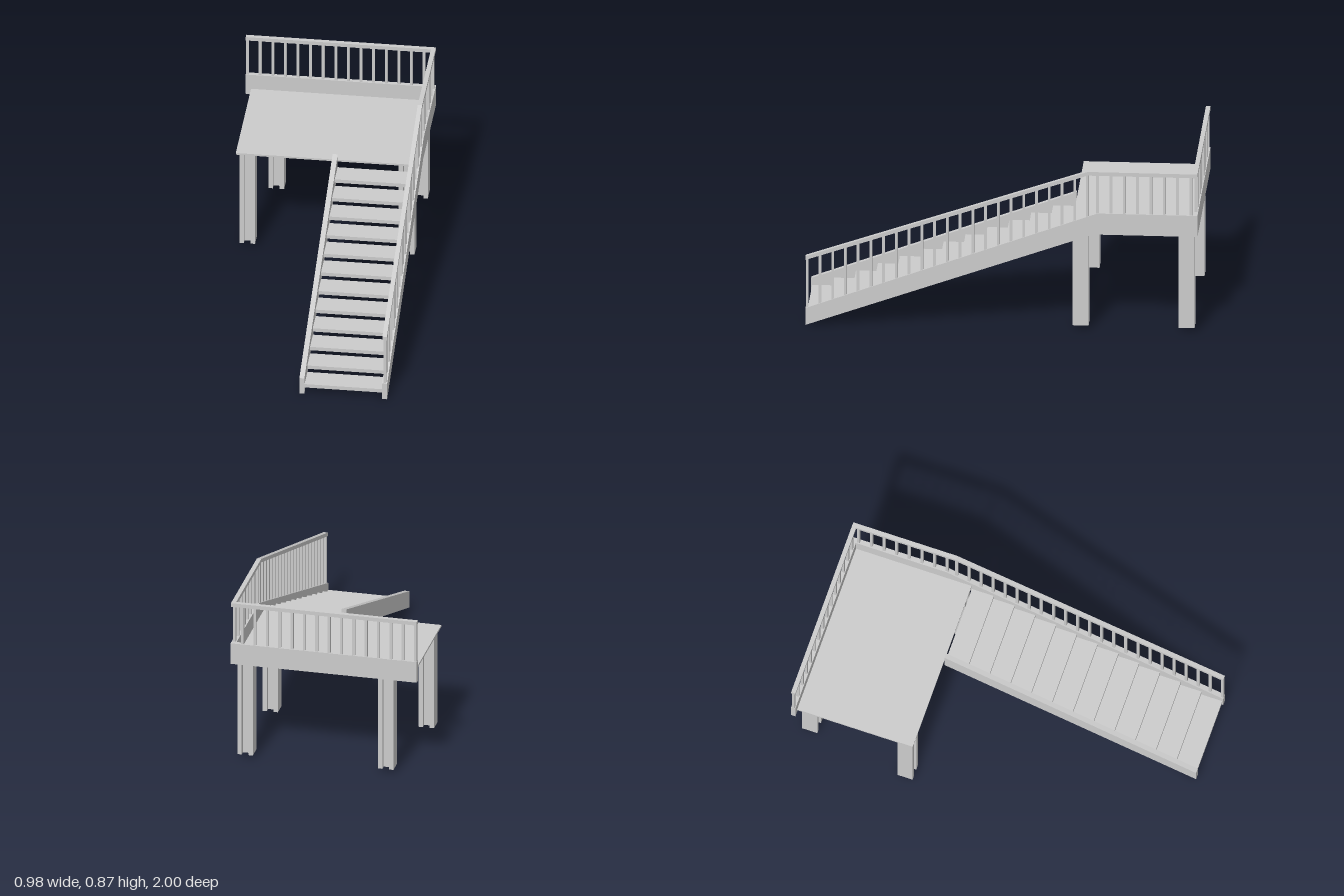
import * as THREE from 'three';

const material = new THREE.MeshStandardMaterial({ color: 0xcccccc, flatShading: true });

// Box given by its min and max on each axis
function box(parent, name, x0, x1, y0, y1, z0, z1) {
  const mesh = new THREE.Mesh(new THREE.BoxGeometry(x1 - x0, y1 - y0, z1 - z0), material);
  mesh.position.set((x0 + x1) / 2, (y0 + y1) / 2, (z0 + z1) / 2);
  mesh.name = name;
  parent.add(mesh);
}

// Board cut from a side outline of [z, y] points, spanning x0 to x1
function sideBoard(parent, name, x0, x1, points) {
  const shape = new THREE.Shape(points.map(([z, y]) => new THREE.Vector2(z, y)));
  const geo = new THREE.ExtrudeGeometry(shape, { depth: x1 - x0, bevelEnabled: false });
  geo.rotateY(-Math.PI / 2).translate(x1, 0, 0);
  const mesh = new THREE.Mesh(geo, material);
  mesh.name = name;
  parent.add(mesh);
}

// Vertical H-section post, centred on x and z
function post(parent, name, x, z) {
  const h = 0.0405, flange = 0.0175, web = 0.0125;
  const outline = [
    [-h, -h], [-flange, -h], [-flange, -web], [flange, -web], [flange, -h], [h, -h],
    [h, h], [flange, h], [flange, web], [-flange, web], [-flange, h], [-h, h],
  ];
  const shape = new THREE.Shape(outline.map(([a, b]) => new THREE.Vector2(a, b)));
  const geo = new THREE.ExtrudeGeometry(shape, { depth: 0.532, bevelEnabled: false });
  geo.rotateX(-Math.PI / 2).translate(x, 0.025, z);
  const mesh = new THREE.Mesh(geo, material);
  mesh.name = name;
  parent.add(mesh);
}

export function createModel() {
  const model = new THREE.Group();
  model.name = 'staircaseWithLanding';
  const outer = 0.4875, inner = 0.4615;
  const stringerTop = (z) => Math.min(0.65, 0.095 + (1 - z) * 0.3725);
  const stringerBottom = (z) => Math.min(0.535, 0.003 + (1 - z) * 0.362);
  const railTop = (z) => Math.min(0.875, 0.377 + (1 - z) * 0.3458);

  // Landing floor and its supports
  box(model, 'landingFloor', -0.46, inner, 0.557, 0.567, -0.98, -0.355);
  post(model, 'frontLeftPost', 0.416, -0.402);
  post(model, 'backLeftPost', 0.416, -0.943);
  post(model, 'frontRightPost', -0.402, -0.402);
  post(model, 'backRightPost', -0.321, -0.943);

  // Back fascia, and the long stringer that bends into the side fascia
  box(model, 'backFascia', -outer, outer, 0.535, 0.65, -1, -0.977);
  sideBoard(model, 'outerStringer', inner, outer, [
    [1, stringerBottom(1)], [1, stringerTop(1)], [-0.49, 0.65],
    [-0.985, 0.65], [-0.985, 0.535], [-0.47, 0.535],
  ]);
  sideBoard(model, 'innerStringer', 0.037, 0.063, [
    [1, stringerBottom(1)], [1, stringerTop(1)],
    [-0.355, stringerTop(-0.355)], [-0.355, stringerBottom(-0.355)],
  ]);

  // Open treads
  const treads = new THREE.Group();
  treads.name = 'treads';
  for (let i = 0; i < 12; i++) {
    const top = 0.058 + i * 0.0424, front = 0.995 - i * 0.1118;
    box(treads, 'tread', 0.063, inner, top - 0.02, top, front - 0.118, front);
  }
  model.add(treads);

  // Handrails
  const railing = new THREE.Group();
  railing.name = 'railing';
  sideBoard(railing, 'sideHandrail', 0.463, 0.486, [
    [1, railTop(1)], [-0.44, 0.875], [-1, 0.875],
    [-1, 0.855], [-0.44, 0.855], [1, railTop(1) - 0.02],
  ]);
  box(railing, 'backHandrail', -outer, 0.463, 0.855, 0.875, -1, -0.977);

  // Side balusters: an evenly spaced run on the flight, then on the landing
  const w = 0.007;
  const sideZ = [];
  for (let i = 0; i < 23; i++) sideZ.push(0.992 - i * 0.065);
  for (let i = 0; i < 8; i++) sideZ.push(-0.49 - i * 0.068);
  for (const z of sideZ) {
    const a = z + w, b = z - w;
    sideBoard(railing, 'sideBaluster', 0.4675, 0.4815, [
      [a, stringerTop(a) - 0.005], [a, railTop(a) - 0.015],
      [b, railTop(b) - 0.015], [b, stringerTop(b) - 0.005],
    ]);
  }

  // Back balusters
  for (let i = 0; i < 15; i++) {
    const x = -0.479 + i * 0.0647;
    box(railing, 'backBaluster', x - w, x + w, 0.645, 0.86, -0.9955, -0.9815);
  }
  model.add(railing);
  return model;
}
